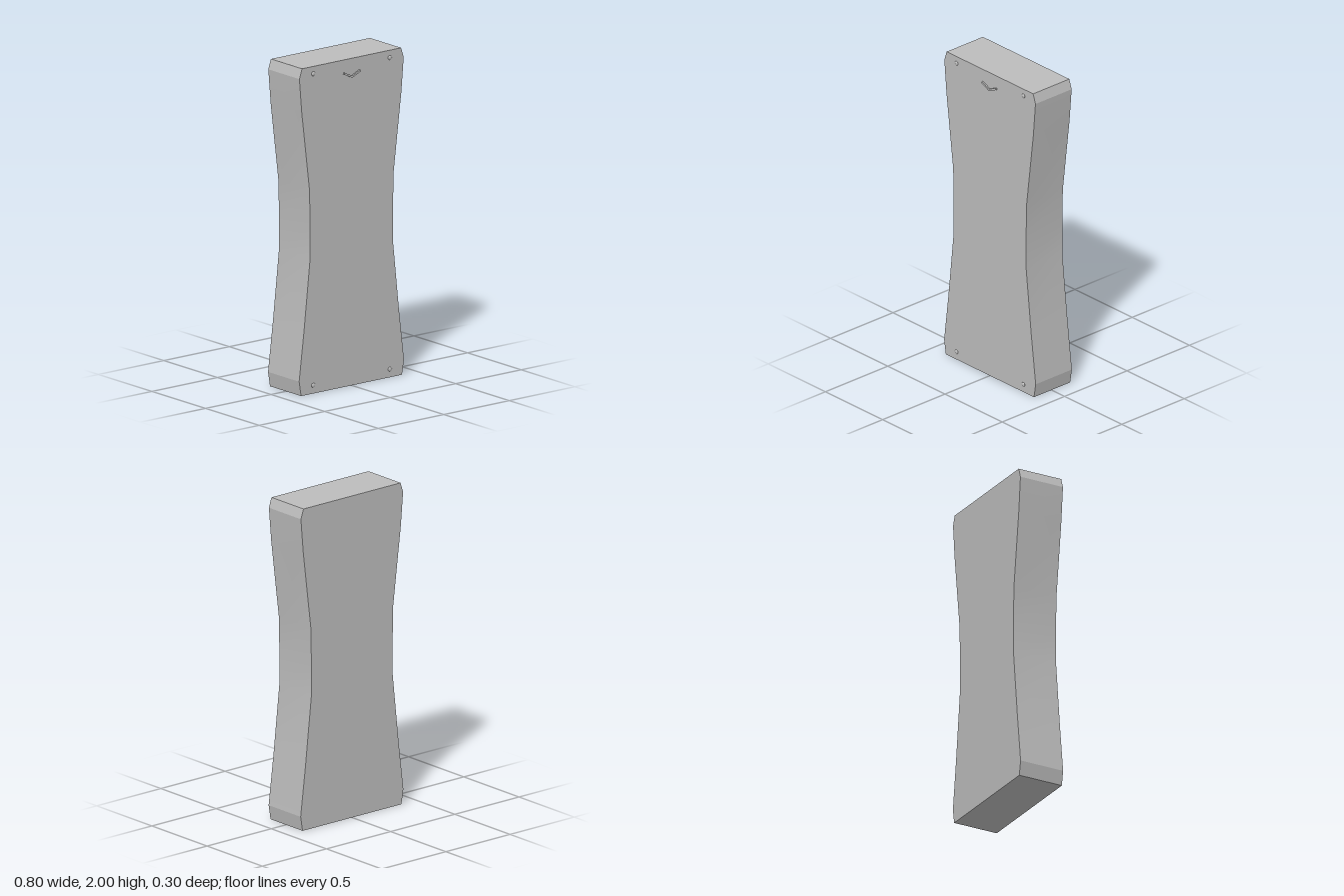
import * as THREE from 'three';
import { toCreasedNormals } from 'three/addons/utils/BufferGeometryUtils.js';

export function createModel() {
  const model = new THREE.Group();
  const grey = new THREE.MeshStandardMaterial({ color: 0xbcbcbc });
  grey.name = 'panel grey';

  const add = (geometry, name, x = 0, y = 0, z = 0) => {
    const mesh = new THREE.Mesh(geometry, grey);
    mesh.name = name;
    mesh.position.set(x, y, z);
    model.add(mesh);
    return mesh;
  };

  // Waisted slab: half outline from bottom to top, mirrored
  const side = [
    [0.385, 0], [0.4, 0.09], [0.362, 0.4], [0.316, 0.83],
    [0.316, 1.02], [0.321, 1.25], [0.38, 1.73], [0.398, 1.94], [0.378, 2],
  ];
  const outline = [...side, ...side.map(([x, y]) => [-x, y]).reverse()];
  const shape = new THREE.Shape(outline.map(([x, y]) => new THREE.Vector2(x, y)));
  const slab = new THREE.ExtrudeGeometry(shape, { depth: 0.29, bevelEnabled: false });
  add(toCreasedNormals(slab, 0.25), 'body', 0, 0, -0.15);

  const front = 0.14;
  for (const s of [-1, 1]) {
    // Low domed rivets near the corners
    for (const y of [0.05, 1.955]) {
      const dome = new THREE.SphereGeometry(0.014, 16, 8, 0, Math.PI * 2, 0, Math.PI / 2);
      dome.rotateX(Math.PI / 2).scale(1, 1, 0.5);
      add(dome, 'rivet', s * 0.292, y, front);
    }
    // Chevron arm, mitred at the centre line
    const arm = new THREE.Shape();
    arm.moveTo(0, 1.883);
    arm.lineTo(s * 0.064, 1.912);
    arm.lineTo(s * 0.06, 1.923);
    arm.lineTo(0, 1.895);
    add(new THREE.ExtrudeGeometry(arm, { depth: 0.009, bevelEnabled: false }), 'chevronArm', 0, 0, front);
  }
  return model;
}
